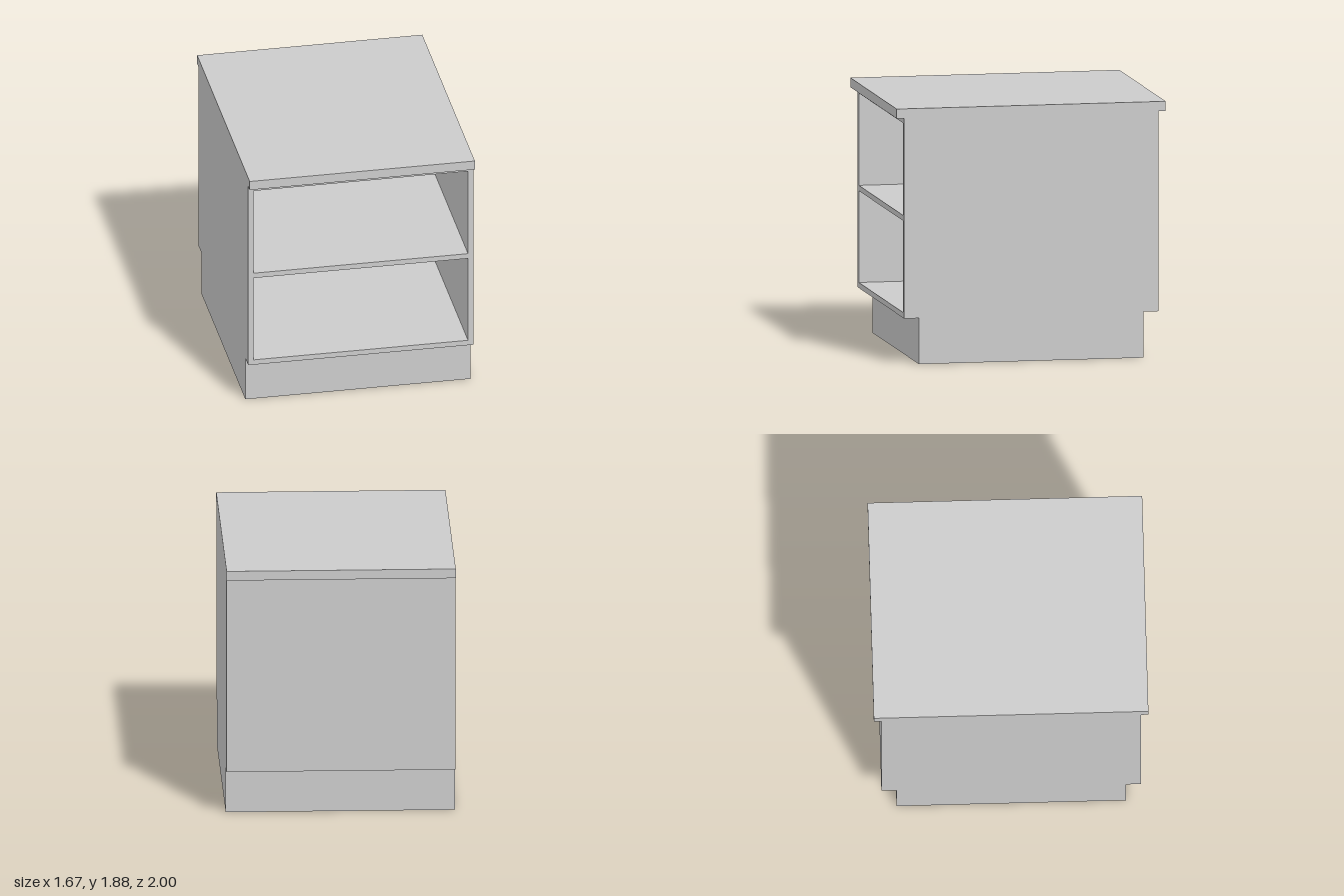
import * as THREE from 'three';

const material = new THREE.MeshStandardMaterial({ color: 0xcccccc });

// Box given by its lower and upper corners
function panel(name, [x0, y0, z0], [x1, y1, z1]) {
  const mesh = new THREE.Mesh(new THREE.BoxGeometry(x1 - x0, y1 - y0, z1 - z0), material);
  mesh.position.set((x0 + x1) / 2, (y0 + y1) / 2, (z0 + z1) / 2);
  mesh.name = name;
  return mesh;
}

export function createModel() {
  const group = new THREE.Group();
  group.name = 'cabinet';

  const W = 0.835;          // half width
  const D = 0.945;          // half depth of the carcass
  const T = 0.04;           // board thickness
  const base = 0.338, top = 1.81;
  const inner = W - T;
  const back = -D + T;

  // Recessed plinth and overhanging worktop
  group.add(panel('plinth', [-W, 0, -0.835], [W, base, 0.835]));
  group.add(panel('worktop', [-W, top, -1], [W, 1.88, 1]));

  // Side and back boards
  group.add(panel('leftSide', [inner, base, -D], [W, top, D]));
  group.add(panel('rightSide', [-W, base, -D], [-inner, top, D]));
  group.add(panel('backPanel', [-inner, base, -D], [inner, top, back]));

  // Horizontal boards between the sides, open to the front
  const boards = { floorBoard: base, shelf: 1.052, topBoard: top - T };
  for (const [name, y] of Object.entries(boards)) {
    group.add(panel(name, [-inner, y, back], [inner, y + T, D]));
  }

  return group;
}
